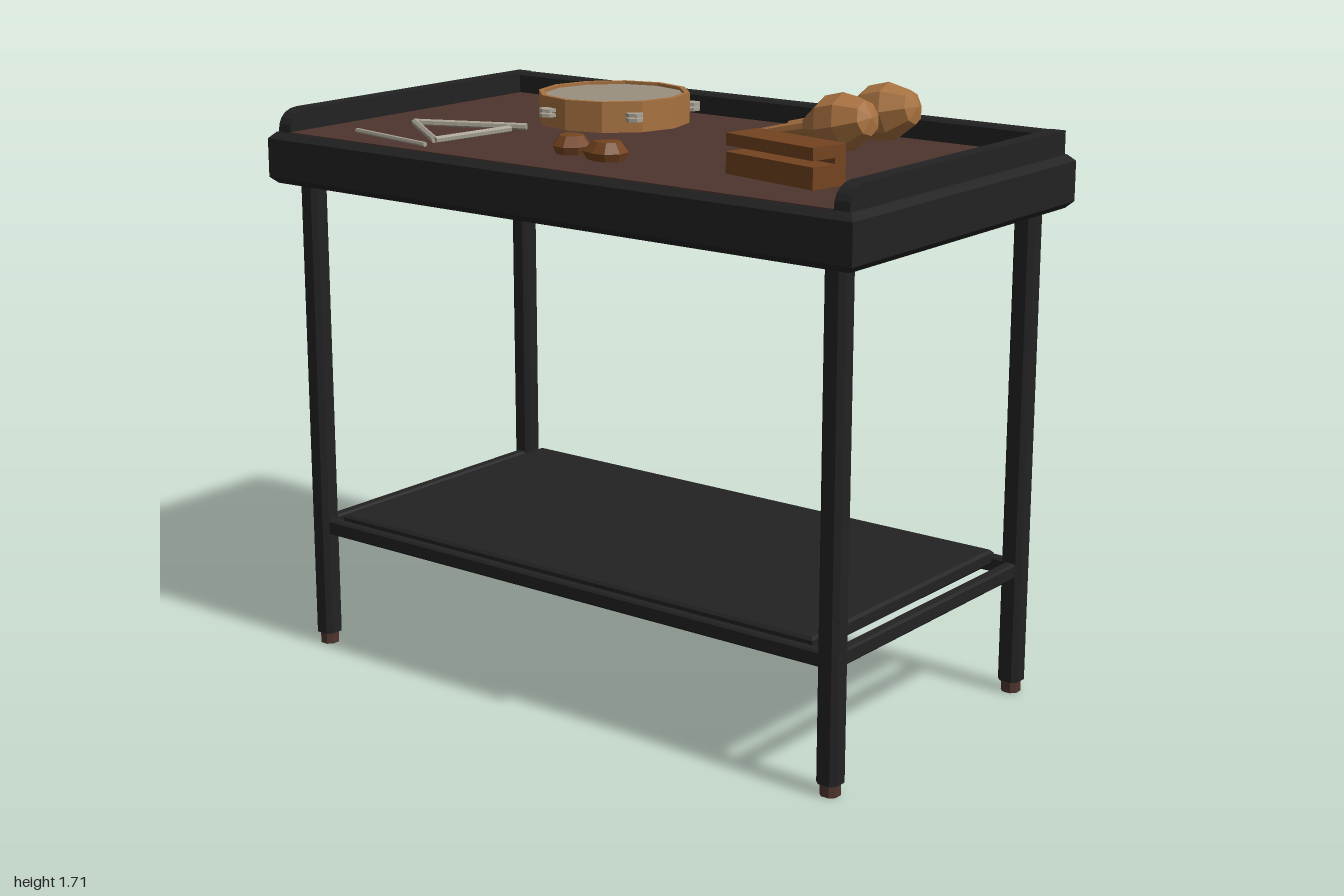
import * as THREE from 'three';

const mat = (name, color) => {
  const m = new THREE.MeshStandardMaterial({ color, flatShading: true });
  m.name = name;
  return m;
};

export function createModel() {
  const black = mat('black frame', 0x222222);
  const brown = mat('brown felt', 0x4e352d);
  const tan = mat('light wood', 0xa87240);
  const wood = mat('red wood', 0x744420);
  const skin = mat('drum skin', 0x9a9080);
  const metal = mat('metal', 0xa8a294);
  skin.side = tan.side = THREE.DoubleSide;

  const root = new THREE.Group();
  const add = (name, geo, material, x = 0, y = 0, z = 0, parent = root) => {
    const m = new THREE.Mesh(geo, material);
    m.name = name;
    m.position.set(x, y, z);
    parent.add(m);
    return m;
  };
  const group = (name, x, y, z) => {
    const g = new THREE.Group();
    g.name = name;
    g.position.set(x, y, z);
    root.add(g);
    return g;
  };

  // Upright slab standing on y = 0: chamfered top and bottom edges, optional cut corners
  const slab = (w, h, d, bevel, cut = 0) => {
    const a = w / 2 - bevel, b = d / 2 - bevel, c = cut;
    const pts = c
      ? [[a - c, -b], [a, c - b], [a, b - c], [a - c, b], [c - a, b], [-a, b - c], [-a, c - b], [c - a, -b]]
      : [[-a, -b], [a, -b], [a, b], [-a, b]];
    const geo = new THREE.ExtrudeGeometry(new THREE.Shape(pts.map(p => new THREE.Vector2(...p))), {
      depth: h - 2 * bevel, bevelEnabled: bevel > 0, bevelSize: bevel, bevelThickness: bevel, bevelSegments: 1,
    });
    return geo.rotateX(-Math.PI / 2).translate(0, bevel, 0);
  };
  // Straight six-sided rod between two points
  const rod = (name, a, b, r, material) => {
    const p = new THREE.Vector3(...a), q = new THREE.Vector3(...b);
    const m = add(name, new THREE.CylinderGeometry(r, r, p.distanceTo(q), 6), material);
    m.position.copy(p).add(q).multiplyScalar(0.5);
    m.quaternion.setFromUnitVectors(new THREE.Vector3(0, 1, 0), q.sub(p).normalize());
  };

  // Table top, felt and raised edges
  const top = 1.548;
  add('tableTop', slab(2, 0.147, 1.085, 0.018), black, 0, 1.398, 0);
  add('feltMat', new THREE.BoxGeometry(1.87, 0.008, 1), brown, 0, 1.544, 0.02);
  add('backEdge', slab(1.95, 0.07, 0.05, 0.008), black, 0, 1.54, -0.497);
  const side = new THREE.Shape();
  side.moveTo(0.522, 1.54);
  side.lineTo(0.518, 1.568);
  side.quadraticCurveTo(0.505, 1.608, 0.45, 1.61);
  side.lineTo(-0.522, 1.61);
  side.lineTo(-0.522, 1.54);
  for (const s of [-1, 1]) {
    const geo = new THREE.ExtrudeGeometry(side, { depth: 0.046, bevelEnabled: false, curveSegments: 4 });
    geo.translate(0, 0, -0.023).rotateY(-Math.PI / 2);
    add('sideEdge', geo, black, s * 0.953, 0, 0);
  }

  // Legs, feet and lower rails
  for (const x of [-0.908, 0.908]) {
    for (const z of [-0.457, 0.457]) {
      add('leg', slab(0.064, 1.37, 0.064, 0, 0.014), black, x, 0.035, z);
      add('foot', slab(0.05, 0.036, 0.05, 0, 0.013), brown, x, 0, z);
    }
    add('sideRail', slab(0.035, 0.045, 0.87, 0.006), black, x, 0.346, 0);
  }
  for (const z of [-0.457, 0.457]) add('longRail', slab(1.78, 0.045, 0.035, 0.006), black, 0, 0.346, z);
  add('shelf', slab(1.68, 0.045, 0.9, 0.008), black, 0, 0.365, 0);

  // Tambourine: hollow hoop, skin and five pairs of jingles
  const tamb = group('tambourine', -0.335, top, -0.205);
  const hoop = [[0.208, 0], [0.222, 0], [0.222, 0.088], [0.206, 0.088], [0.206, 0]];
  add('hoop', new THREE.LatheGeometry(hoop.map(p => new THREE.Vector2(...p)), 12), tan, 0, 0, 0, tamb);
  add('drumSkin', new THREE.CylinderGeometry(0.207, 0.207, 0.006, 12), skin, 0, 0.076, 0, tamb);
  for (let i = 0; i < 5; i++) {
    const a = Math.PI + i * Math.PI * 0.4;
    for (const y of [0.038, 0.052]) {
      add('jingle', new THREE.CylinderGeometry(0.026, 0.026, 0.01, 7), metal,
        0.226 * Math.cos(a), y, 0.226 * Math.sin(a), tamb);
    }
  }

  // Triangle, open at one corner, with its beater
  const ty = top + 0.009;
  const corners = [[-0.43, 0.075], [-0.74, 0.21], [-0.48, 0.405], [-0.445, 0.13]];
  for (let i = 0; i < 3; i++) {
    const [a, b] = [corners[i], corners[i + 1]];
    rod('triangleBar', [a[0], ty, a[1]], [b[0], ty, b[1]], 0.01, metal);
  }
  rod('triangleBeater', [-0.78, top + 0.006, 0.405], [-0.46, top + 0.006, 0.465], 0.007, metal);

  // Maracas: eight-sided profile lying on its bulb and handle tip
  const profile = [[0, 0], [0.015, 0], [0.021, 0.19], [0.034, 0.2], [0.078, 0.275],
    [0.08, 0.34], [0.048, 0.405], [0, 0.42]].map(p => new THREE.Vector2(...p));
  for (const [x, z, dz] of [[0.18, -0.362, -0.025], [0.19, -0.182, 0.035]]) {
    const m = add('maraca', new THREE.LatheGeometry(profile, 8), tan, x, top + 0.016, z);
    m.quaternion.setFromUnitVectors(new THREE.Vector3(0, 1, 0), new THREE.Vector3(0.4, 0.088, dz).normalize());
  }

  // Castanets: domed shells drawn out to a point on one side
  const dome = [[0, 0], [0.045, 0], [0.054, 0.022], [0.034, 0.05], [0, 0.053]].map(p => new THREE.Vector2(...p));
  for (const [x, z, turn] of [[-0.078, 0.295, 2.6], [0.07, 0.318, 3.6]]) {
    const geo = new THREE.LatheGeometry(dome, 8, Math.PI / 2);
    const p = geo.attributes.position;
    for (let i = 0; i < p.count; i++) {
      if (p.getX(i) > 0.02 && Math.abs(p.getZ(i)) < 0.001) p.setX(i, p.getX(i) * 1.35);
    }
    add('castanet', geo, wood, x, top, z).rotation.y = turn;
  }

  // Wood block with a long slot cut into its front
  const block = new THREE.Shape([[-0.058, 0], [0.058, 0], [0.058, 0.058], [-0.02, 0.058],
    [-0.02, 0.074], [0.058, 0.074], [0.058, 0.107], [-0.058, 0.107]].map(p => new THREE.Vector2(...p)));
  const blockGeo = new THREE.ExtrudeGeometry(block, { depth: 0.32, bevelEnabled: false });
  blockGeo.translate(0, 0, -0.16).rotateY(-Math.PI / 2);
  add('woodBlock', blockGeo, wood, 0.607, top, 0.267).rotation.y = -0.19;

  return root;
}
